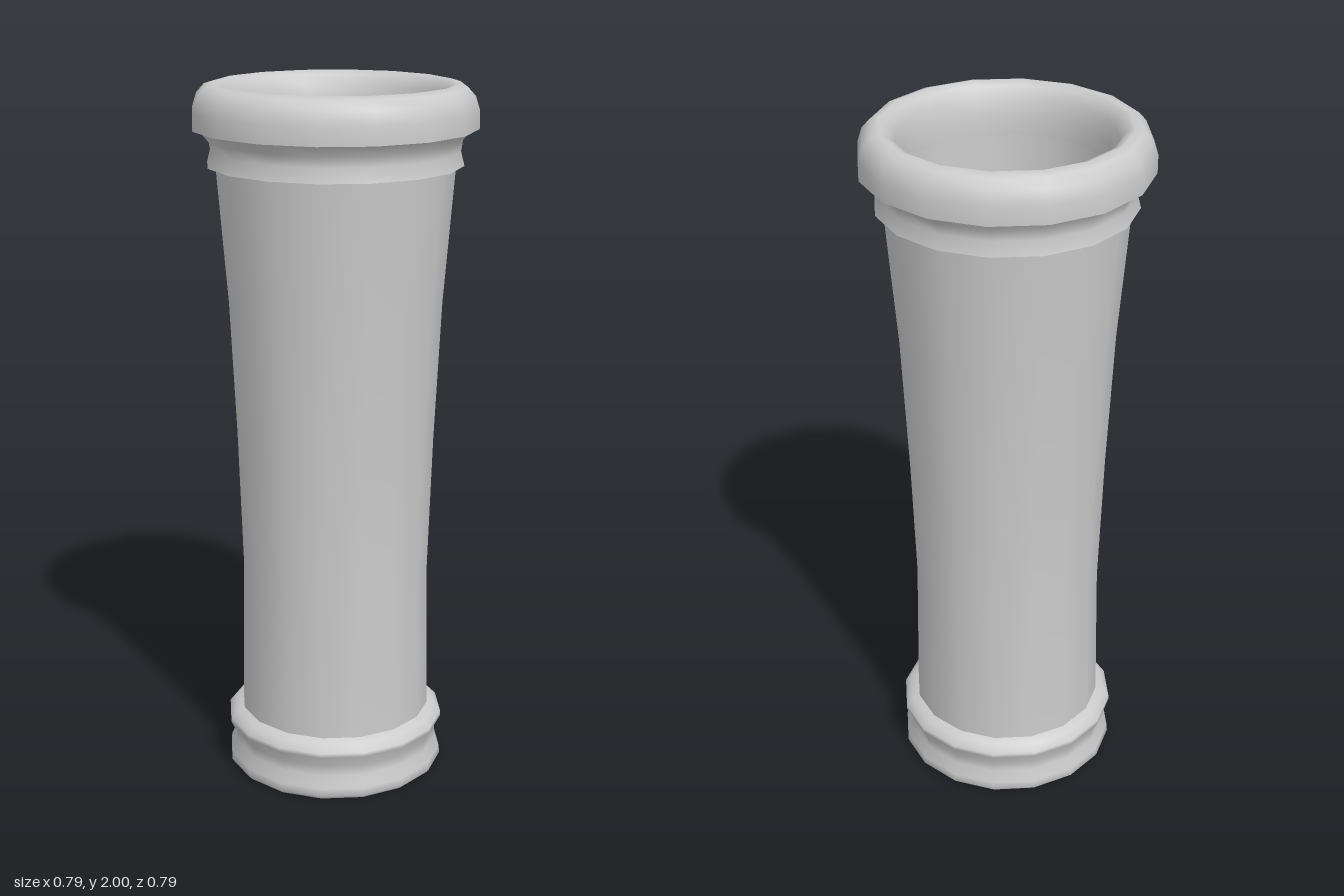
import * as THREE from 'three';

const SIDES = 16;
const material = new THREE.MeshStandardMaterial({ color: 0xcccccc });

// Smooth 16-sided ring from [radius, height] pairs; separate rings keep creases sharp
function turned(name, profile) {
  const points = profile.map(([r, y]) => new THREE.Vector2(r, y));
  const mesh = new THREE.Mesh(new THREE.LatheGeometry(points, SIDES), material);
  mesh.name = name;
  return mesh;
}

export function createModel() {
  const group = new THREE.Group();
  group.name = 'flaredTube';
  group.add(
    // Closed foot
    turned('footUnderside', [[0, 0], [0.305, 0]]),
    turned('foot', [
      [0.305, 0], [0.317, 0.012], [0.315, 0.035], [0.301, 0.07],
      [0.3, 0.1], [0.318, 0.135], [0.318, 0.148], [0.3, 0.168], [0.275, 0.178],
    ]),
    // Shaft, flaring toward the top
    turned('shaft', [
      [0.277, 0.17], [0.27, 0.6], [0.283, 1.0], [0.302, 1.4], [0.333, 1.785],
    ]),
    // Collar under the rim
    turned('collarUnderside', [[0.325, 1.78], [0.355, 1.78]]),
    turned('collar', [[0.355, 1.78], [0.345, 1.82], [0.35, 1.85], [0.375, 1.88]]),
    // Rounded rim rolling over into the mouth
    turned('rimUnderside', [[0.365, 1.878], [0.394, 1.88]]),
    turned('rim', [
      [0.394, 1.88], [0.394, 1.93], [0.382, 1.968], [0.36, 1.992], [0.335, 2],
      [0.312, 1.99], [0.294, 1.96], [0.283, 1.91], [0.283, 1.86],
    ]),
    // Deep bore with a rounded floor
    turned('bore', [
      [0.283, 1.86], [0.272, 1.4], [0.25, 1.0], [0.235, 0.6],
      [0.22, 0.35], [0.17, 0.24], [0.09, 0.21], [0, 0.2],
    ]),
  );
  return group;
}
